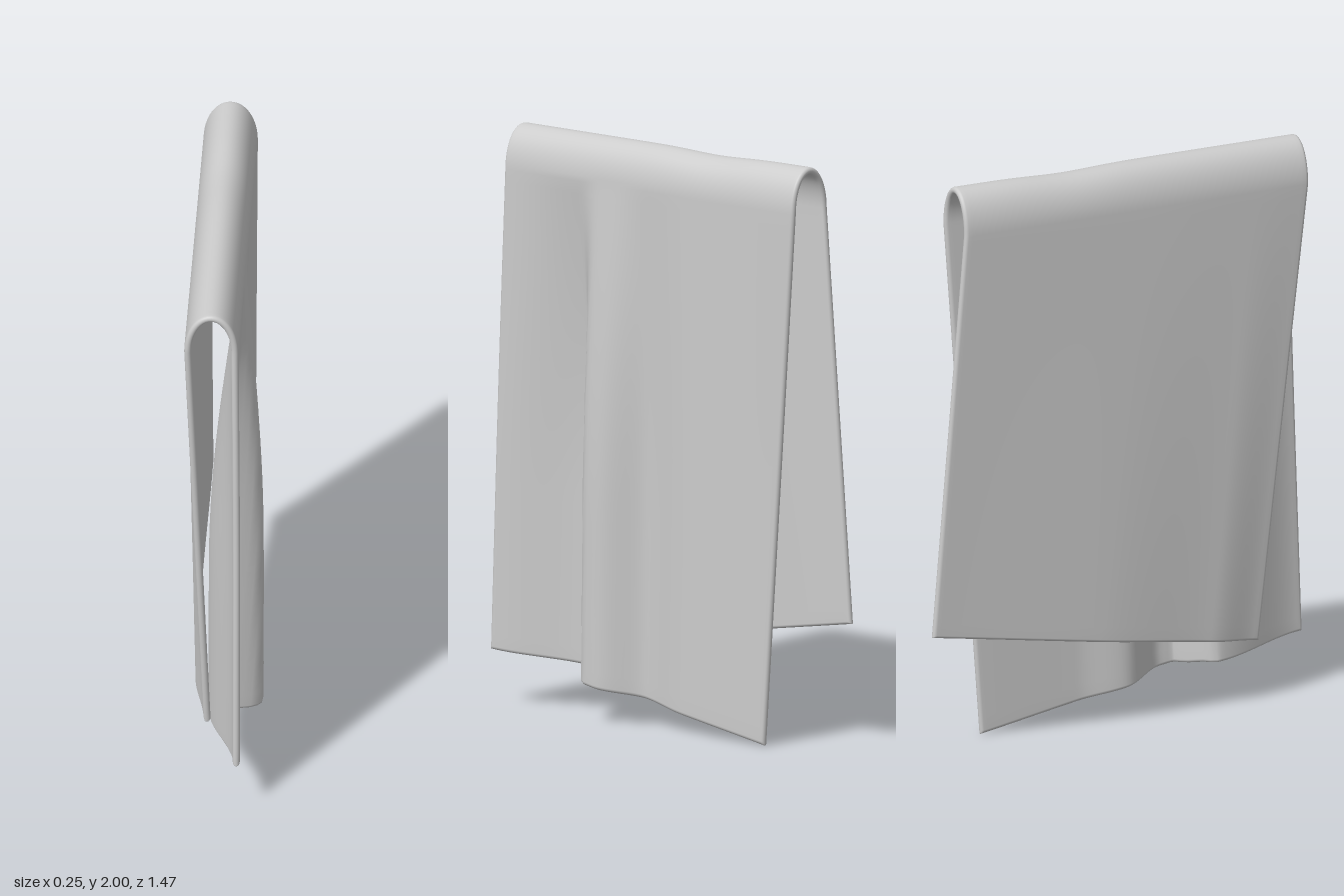
import * as THREE from 'three';
import { mergeVertices } from 'three/addons/utils/BufferGeometryUtils.js';

const { lerp, clamp, smoothstep } = THREE.MathUtils;
const HALF = 0.012;   // half the cloth thickness
const ARCH = 0.06;    // share of each half taken by the top fold

// Smooth interpolation through [position, value] knots
function ease(knots, v) {
  for (let i = 1; i < knots.length; i++) {
    const [p0, a] = knots[i - 1], [p1, b] = knots[i];
    if (v <= p1) return lerp(a, b, smoothstep(v, p0, p1));
  }
  return knots[knots.length - 1][1];
}

// Sideways waves of the two hems, from the front edge (0) to the back edge (1)
const leftWave = [[0, 0.055], [0.3, -0.045], [0.385, 0.108], [0.42, 0.11], [0.56, 0.025], [0.7, 0.05], [1, 0.045]];
const rightWave = [[0, -0.055], [0.16, -0.092], [0.5, -0.118], [1, -0.11]];

// Middle surface of the cloth: s runs over the fold (-1 right hem, +1 left hem), v from front to back
function cloth(s, v) {
  const topZ = lerp(0.68, -0.615, v);
  const k = Math.abs(s);
  if (k <= ARCH) {
    const angle = (Math.PI / 2) * (1 - s / ARCH);
    const sag = 0.008 * Math.exp(-(((v - 0.68) / 0.12) ** 2));
    return new THREE.Vector3(
      -0.033 + 0.08 * Math.cos(angle), 1.85 + (0.138 - sag) * Math.sin(angle), topZ);
  }
  const t = (k - ARCH) / (1 - ARCH);
  if (s > 0) {
    const grow = Math.sin(Math.min(1, t / 0.65) * Math.PI / 2);
    const x = lerp(0.047, ease(leftWave, clamp(v + 0.06 * (1 - t) * v * (1 - v) * 4, 0, 1)), grow);
    const hem = v < 0.32 ? 0.19 - 0.1 * v : lerp(0.142, 0.001, (v - 0.32) / 0.68)
      + 0.016 * (1 - smoothstep(v, 0.32, 0.36));
    return new THREE.Vector3(x, lerp(1.85, hem, t), lerp(topZ, lerp(0.737, -0.48, v), t));
  }
  return new THREE.Vector3(
    lerp(-0.113, ease(rightWave, v), t),
    lerp(1.85, lerp(0.22, 0.43, v), t),
    lerp(topZ, lerp(0.52, -0.735, v), t));
}

function clothNormal(s, v) {
  const e = 0.002;
  const ds = cloth(Math.min(1, s + e), v).sub(cloth(Math.max(-1, s - e), v));
  const dv = cloth(s, Math.min(1, v + e)).sub(cloth(s, Math.max(0, v - e)));
  return ds.cross(dv).normalize();
}

// Round off the thickness within r of an edge
const rounded = (d, r) => Math.sqrt(1 - (1 - Math.min(d / r, 1)) ** 2);

// Evenly spaced samples from a to b, without the end
const span = (a, b, n) => Array.from({ length: n }, (_, i) => lerp(a, b, i / n));

function clothGeometry() {
  const rimV = 0.0095, rimS = 0.0068;
  const steps = [0, 0.08, 0.3, 0.6];
  const vs = [...steps.map(f => f * rimV), ...span(rimV, 1 - rimV, 84), 1 - rimV,
    ...steps.map(f => 1 - f * rimV).reverse()];
  const ss = [...steps.map(f => -1 + f * rimS), ...span(-1 + rimS, -ARCH, 36), ...span(-ARCH, ARCH, 24),
    ...span(ARCH, 1 - rimS, 40), 1 - rimS, ...steps.map(f => 1 - f * rimS).reverse()];
  const positions = [], index = [];
  const cols = vs.length, count = ss.length * cols;
  for (const side of [1, -1]) {
    for (const s of ss) {
      for (const v of vs) {
        const h = HALF * Math.min(rounded(1 - Math.abs(s), rimS), rounded(Math.min(v, 1 - v), rimV));
        const p = cloth(s, v).addScaledVector(clothNormal(s, v), side * h);
        positions.push(p.x, p.y, p.z);
      }
    }
    const base = side > 0 ? 0 : count;
    for (let i = 0; i < ss.length - 1; i++) {
      for (let j = 0; j < cols - 1; j++) {
        const a = base + i * cols + j, b = a + cols, c = a + 1, d = b + 1;
        if (side > 0) index.push(a, b, c, b, d, c);
        else index.push(a, c, b, b, c, d);
      }
    }
  }
  const geometry = new THREE.BufferGeometry();
  geometry.setAttribute('position', new THREE.Float32BufferAttribute(positions, 3));
  geometry.setIndex(index);
  // Join the outer and inner faces along the rim
  const joined = mergeVertices(geometry, 1e-5);
  joined.computeVertexNormals();
  return joined;
}

export function createModel() {
  const group = new THREE.Group();
  group.name = 'hangingTowel';
  const towel = new THREE.Mesh(clothGeometry(),
    new THREE.MeshStandardMaterial({ color: 0xcccccc, side: THREE.DoubleSide }));
  towel.name = 'foldedCloth';
  group.add(towel);
  return group;
}
